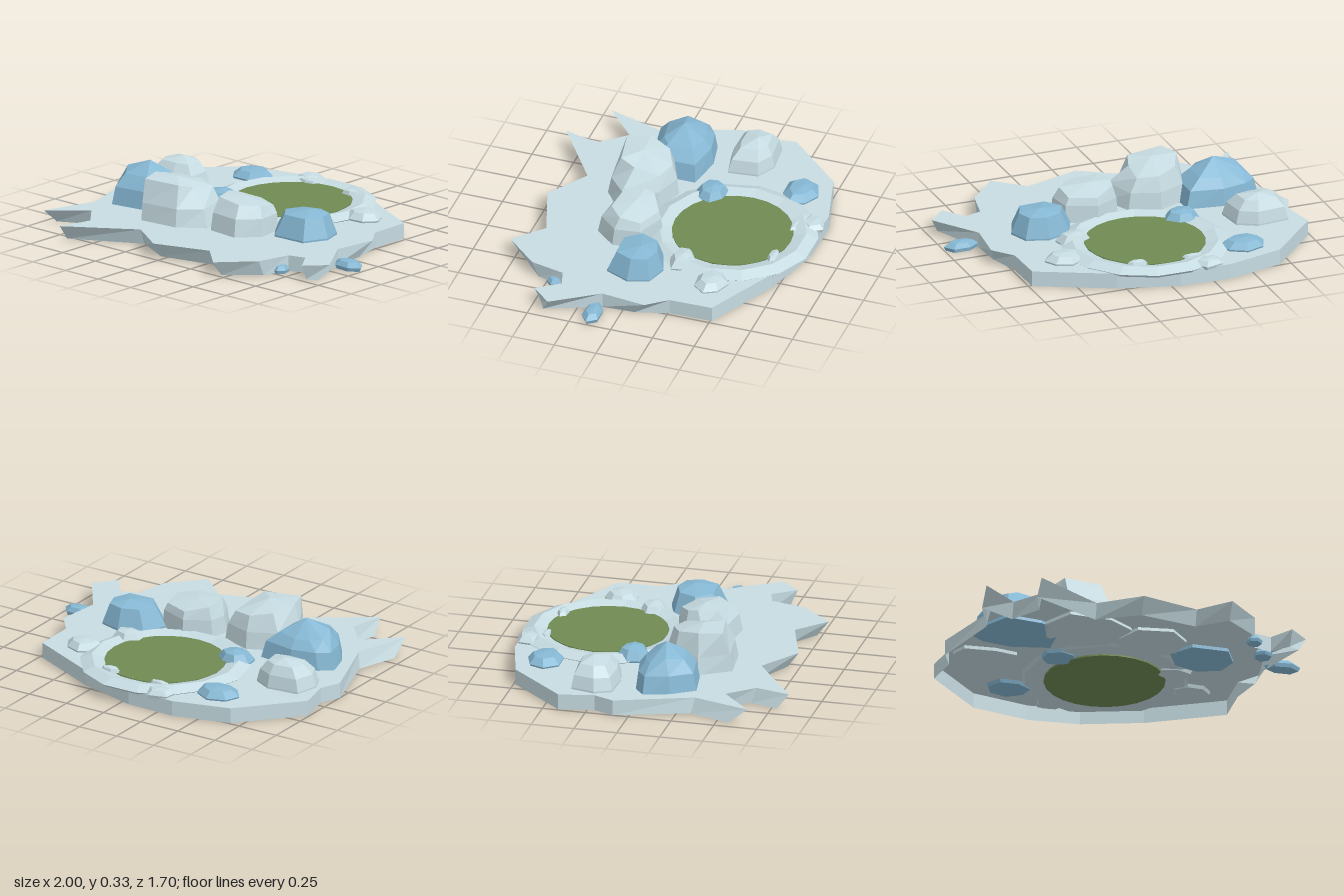
import * as THREE from 'three';

const stone = new THREE.MeshStandardMaterial({ color: 0xc6dce2, side: THREE.DoubleSide });
stone.name = 'pale stone';
const blue = new THREE.MeshStandardMaterial({ color: 0x86b8d4 });
blue.name = 'blue stone';
const green = new THREE.MeshStandardMaterial({ color: 0x708b53 });
green.name = 'moss green';

// Faceted solid through rings of [x, y, z]; closed by a fan to the peak, or by a flat lid with the underside left open
function loft(rings, peak) {
  const out = [];
  const tri = (...p) => p.forEach((v) => out.push(...v));
  const n = rings[0].length;
  for (let k = 0; k + 1 < rings.length; k++) {
    for (let i = 0; i < n; i++) {
      const j = (i + 1) % n, [lo, hi] = [rings[k], rings[k + 1]];
      tri(lo[i], hi[i], lo[j]);
      tri(lo[j], hi[i], hi[j]);
    }
  }
  const cap = (ring, up) => {
    const flat = ring.map((p) => new THREE.Vector2(p[0], p[2]));
    for (const [a, b, c] of THREE.ShapeUtils.triangulateShape(flat, [])) {
      const area = THREE.ShapeUtils.area([flat[a], flat[b], flat[c]]);
      if ((area > 0) === up) tri(ring[a], ring[c], ring[b]);
      else tri(ring[a], ring[b], ring[c]);
    }
  };
  const top = rings[rings.length - 1];
  if (peak) {
    cap(rings[0], false);
    top.forEach((p, i) => tri(p, peak, top[(i + 1) % n]));
  } else cap(top, true);
  const geo = new THREE.BufferGeometry();
  geo.setAttribute('position', new THREE.Float32BufferAttribute(out, 3));
  geo.computeVertexNormals();
  return geo;
}

// Rock from its outline; each level is [height, scale toward the peak]
function rock(base, peak, levels) {
  const rings = levels.map(([y, s]) => base.map(([x, z]) =>
    [peak[0] + (x - peak[0]) * s, y, peak[2] + (z - peak[2]) * s]));
  return loft(rings, peak);
}

// Boulder from its outline and an uneven shoulder ring of [x, y, z]
function boulder(base, shoulder, peak) {
  const mid = base.map(([x, z], i) => [x * 0.7 + shoulder[i][0] * 0.3, 0.19, z * 0.7 + shoulder[i][2] * 0.3]);
  return loft([base.map(([x, z]) => [x, 0.07, z]), mid, shoulder], peak);
}

// Uneven many-sided outline filling a box
function outline(x0, x1, z0, z1, n, turn) {
  const pts = [];
  for (let i = 0; i < n; i++) {
    const a = turn + (i / n) * Math.PI * 2, r = 1 + 0.06 * Math.sin(i * 2.7 + turn * 5);
    pts.push([(x0 + x1) / 2 + Math.cos(a) * r * (x1 - x0) / 2,
      (z0 + z1) / 2 + Math.sin(a) * r * (z1 - z0) / 2]);
  }
  return pts;
}

export function createModel() {
  const model = new THREE.Group();
  const add = (name, geo, mat) => {
    const mesh = new THREE.Mesh(geo, mat);
    mesh.name = name;
    model.add(mesh);
    return mesh;
  };

  // Jagged ground shell, open below; some lower corners are undercut: [x, z, lowerX, lowerZ]
  const edge = [
    [0.73, -0.51], [0.735, -0.26], [0.83, -0.14, 0.79, -0.07], [0.8, 0.12],
    [0.98, 0.385, 0.93, 0.43], [0.875, 0.5, 0.87, 0.46], [0.78, 0.37], [0.68, 0.4],
    [0.635, 0.6, 0.635, 0.56], [0.46, 0.79, 0.46, 0.72], [0.29, 0.635, 0.29, 0.6],
    [-0.04, 0.745, -0.04, 0.68], [-0.28, 0.59, -0.28, 0.56],
    [-0.66, 0.85, -0.67, 0.78], [-0.61, 0.65, -0.62, 0.62], [-0.74, 0.5, -0.74, 0.46],
    [-0.94, 0.68, -0.94, 0.57], [-0.84, 0.35, -0.86, 0.33], [-1, -0.09],
    [-0.95, -0.21], [-0.99, -0.41], [-0.685, -0.74], [-0.35, -0.83],
    [-0.05, -0.82], [0.3, -0.72],
  ];
  add('groundShell', loft([
    edge.map(([x, z, bx = x, bz = z]) => [bx, 0, bz]),
    edge.map(([x, z]) => [x, 0.09, z]),
  ]), stone);

  // Pond rim and its green disc
  const rimProfile = [[0.34, 0.08], [0.46, 0.075], [0.487, 0.096], [0.42, 0.125], [0.345, 0.105], [0.34, 0.08]]
    .map(([r, y]) => new THREE.Vector2(r, y));
  const rimGeo = new THREE.LatheGeometry(rimProfile, 14, Math.PI / 14).toNonIndexed();
  rimGeo.computeVertexNormals();
  add('pondRim', rimGeo, stone).position.set(-0.01, 0, -0.375);
  const disc = new THREE.CylinderGeometry(0.345, 0.345, 0.041, 24).toNonIndexed();
  disc.computeVertexNormals();
  add('pondDisc', disc, green).position.set(-0.01, 0.0905, -0.375);

  // Large boulders
  add('blueBoulderLeft', boulder(
    [[-0.41, -0.01], [-0.41, 0.23], [-0.53, 0.30], [-0.74, 0.335], [-0.83, 0.2], [-0.875, 0.05], [-0.8, -0.01], [-0.63, -0.045]],
    [[-0.51, 0.25, 0.04], [-0.51, 0.25, 0.19], [-0.56, 0.26, 0.23], [-0.71, 0.26, 0.25],
      [-0.77, 0.28, 0.16], [-0.78, 0.25, 0.07], [-0.72, 0.24, 0.03], [-0.63, 0.24, 0.01]],
    [-0.63, 0.33, 0.13]), blue);
  add('stoneBoulderCentre', boulder(
    [[-0.01, 0.32], [-0.16, 0.43], [-0.4, 0.455], [-0.51, 0.28], [-0.46, 0.12], [-0.28, 0.04], [-0.1, 0.1]],
    [[-0.17, 0.29, 0.27], [-0.2, 0.315, 0.36], [-0.42, 0.32, 0.4], [-0.46, 0.325, 0.27],
      [-0.4, 0.3, 0.14], [-0.28, 0.28, 0.08], [-0.16, 0.27, 0.12]],
    [-0.3, 0.33, 0.26]), stone);
  add('stoneBoulderRight', boulder(
    [[0.325, 0.23], [0.22, 0.355], [0.02, 0.335], [-0.06, 0.19], [-0.03, 0.08], [0.12, 0], [0.3, 0.07]],
    [[0.28, 0.255, 0.2], [0.19, 0.26, 0.28], [0.02, 0.272, 0.26], [-0.01, 0.277, 0.15],
      [0, 0.265, 0.09], [0.12, 0.235, 0.02], [0.27, 0.235, 0.08]],
    [0.12, 0.277, 0.16]), stone);
  add('blueBoulderRight', rock(
    [[0.64, 0.03], [0.58, 0.17], [0.37, 0.18], [0.27, 0.06], [0.33, -0.08], [0.47, -0.13], [0.6, -0.09]],
    [0.48, 0.238, 0], [[0.07, 1], [0.1, 1], [0.215, 0.72]]), blue);
  add('stoneBoulderLeft', rock(
    [[-0.57, -0.15], [-0.7, -0.12], [-0.88, -0.125], [-0.925, -0.22], [-0.89, -0.36], [-0.7, -0.38], [-0.59, -0.32]],
    [-0.74, 0.25, -0.27], [[0.07, 1], [0.1, 1], [0.17, 0.88], [0.225, 0.6]]), stone);

  // Smaller stones: name, box (x0, x1, z0, z1), sides, turn, base height, height, material
  const small = [
    ['blueStoneBack', -0.65, -0.38, -0.71, -0.5, 7, 0.3, 0.07, 0.145, blue],
    ['blueStonePond', -0.44, -0.22, -0.235, -0.04, 7, 0.7, 0.07, 0.165, blue],
    ['stoneBackRight', 0.385, 0.615, -0.52, -0.33, 7, 0.1, 0.07, 0.145, stone],
    ['stonePondRight', 0.245, 0.455, -0.28, -0.12, 6, 0.4, 0.07, 0.155, stone],
    ['stonePondBack', 0.09, 0.23, -0.72, -0.64, 6, 0.2, 0.08, 0.14, stone],
    ['stoneFlakeBack', -0.33, -0.14, -0.85, -0.7, 5, 1.3, 0.08, 0.13, stone],
    ['stoneFlakeInner', -0.25, -0.1, -0.72, -0.66, 5, 0.4, 0.08, 0.13, stone],
    ['bluePebbleRight', 0.8, 1, 0.085, 0.2, 6, 0.1, 0, 0.055, blue],
    ['bluePebbleMiddle', 0.7, 0.81, 0.22, 0.34, 6, 0.5, 0, 0.045, blue],
    ['bluePebbleFront', 0.62, 0.71, 0.4, 0.5, 6, 0.2, 0, 0.045, blue],
  ];
  for (const [name, x0, x1, z0, z1, n, turn, y, h, mat] of small) {
    const start = h > 0.1 ? 0.1 : h * 0.4;
    add(name, rock(outline(x0, x1, z0, z1, n, turn),
      [(x0 + x1) / 2, h, (z0 + z1) / 2 - (z1 - z0) * 0.06],
      [[y, 0.9], [start, 1], [start + (h - start) * 0.8, 0.65]]), mat);
  }
  return model;
}
